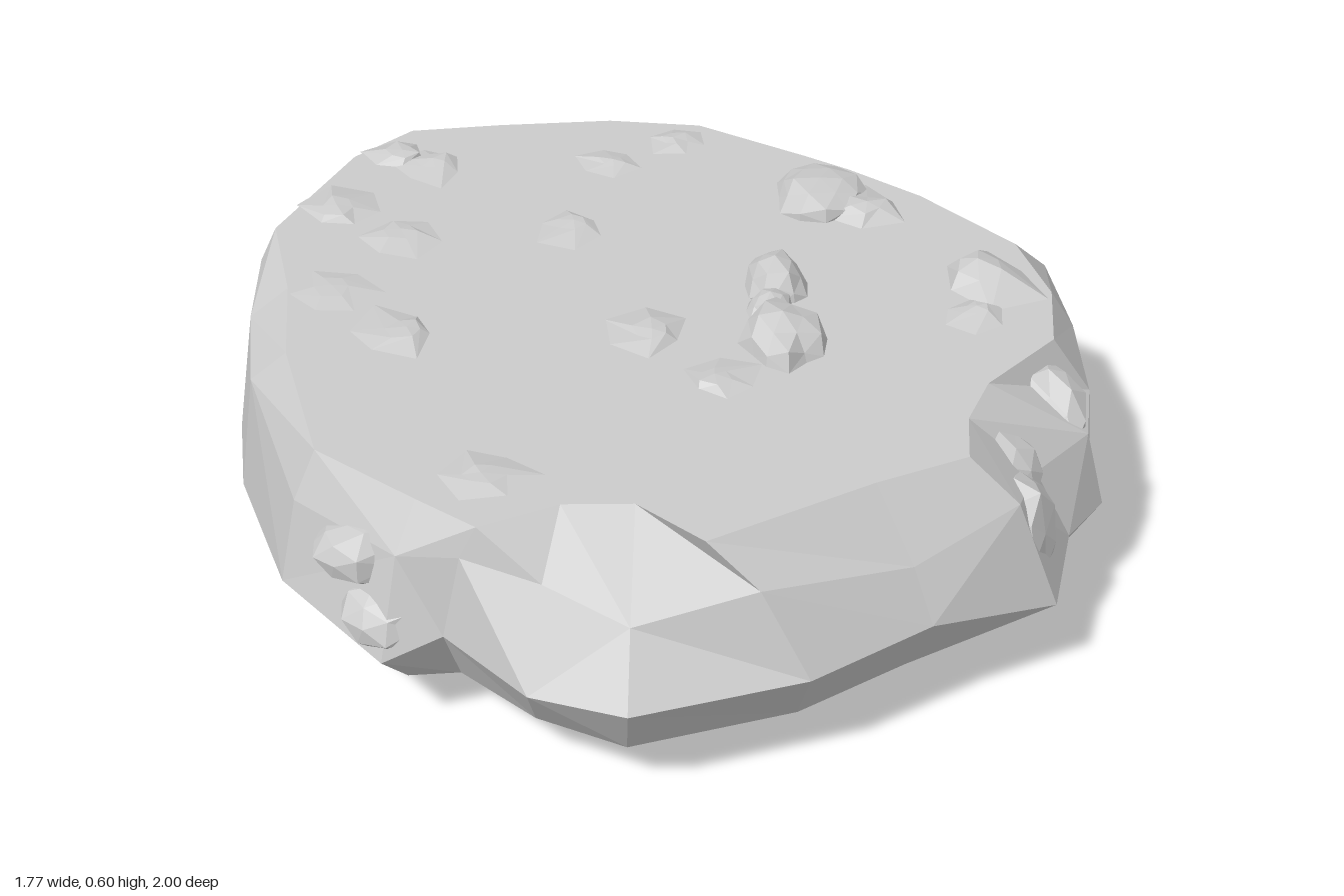
import * as THREE from 'three';
import { mergeGeometries } from 'three/addons/utils/BufferGeometryUtils.js';

const material = new THREE.MeshStandardMaterial({ color: 0xcccccc, flatShading: true });

// Widest outline and flat top outline as matching [x, z] stations, clockwise from the back
const waist = [
  [-0.15, -1], [0.13, -0.89], [0.42, -0.78], [0.58, -0.66], [0.75, -0.55], [0.88, -0.3],
  [0.88, 0], [0.88, 0.17], [0.87, 0.34], [0.78, 0.45], [0.72, 0.64], [0.45, 0.78],
  [0.2, 0.91], [-0.15, 1], [-0.33, 0.9], [-0.48, 0.73], [-0.6, 0.73], [-0.79, 0.48],
  [-0.88, 0.08], [-0.89, -0.15], [-0.85, -0.4], [-0.68, -0.73], [-0.55, -0.88], [-0.33, -0.97],
];
const rim = [
  [-0.05, -0.82], [0.15, -0.78], [0.37, -0.62], [0.46, -0.55], [0.6, -0.42], [0.77, -0.2],
  [0.81, 0], [0.78, 0.18], [0.62, 0.33], [0.56, 0.45], [0.54, 0.58], [0.35, 0.65],
  [0.01, 0.81], [-0.11, 0.68], [-0.25, 0.67], [-0.41, 0.73], [-0.52, 0.63], [-0.71, 0.45],
  [-0.77, 0.1], [-0.77, -0.15], [-0.8, -0.4], [-0.63, -0.7], [-0.5, -0.81], [-0.3, -0.82],
];

// Repeatable noise in -1..1
function noise(a, b, c) {
  const s = Math.sin(a * 127.1 + b * 311.7 + c * 74.7) * 43758.5453;
  return (s - Math.floor(s)) * 2 - 1;
}
const mix = (a, b, t) => a + (b - a) * t;

// Slab: five rough rings joined by facets and closed by flat caps
function slabGeometry() {
  const n = waist.length;
  const pos = [];
  const index = [];
  for (let ring = 0; ring < 5; ring++) {
    for (let i = 0; i < n; i++) {
      const [wx, wz] = waist[i];
      const [tx, tz] = rim[i];
      // The underside is cut in further at the diagonal corners
      const cut = 1 - 0.25 * Math.abs(wx * wz);
      const bx = wx * 0.95 * cut, bz = wz * 0.81 * cut;
      const rough = noise(i, ring, 1);
      const midY = 0.3 - 0.025 * wz - 0.12 * wx * wx + 0.03 * rough;
      const slope = wx > 0 && wz < -0.5 ? 0.46 : 0.57;
      const t = (Math.abs(wx) > 0.8 ? 0.78 : slope) + 0.1 * rough;
      const low = 0.6 + 0.12 * rough;
      if (ring === 0) pos.push(bx, 0.06, bz);
      if (ring === 1) pos.push(mix(bx, wx, low), 0.14 + 0.04 * rough, mix(bz, wz, low));
      if (ring === 2) pos.push(wx, midY, wz);
      if (ring === 3) pos.push(mix(tx, wx, t), 0.42 - 0.04 * rough, mix(tz, wz, t));
      if (ring === 4) pos.push(tx, 0.525, tz);
    }
  }
  pos.push(0, 0.06, 0, 0, 0.525, 0);
  for (let i = 0; i < n; i++) {
    const j = (i + 1) % n;
    for (let r = 0; r < 4; r++) {
      const a = r * n + i, b = r * n + j, c = a + n, d = b + n;
      if (noise(i, r, 5) > 0) index.push(a, c, b, b, c, d);
      else index.push(a, c, d, a, d, b);
    }
    index.push(5 * n, i, j, 5 * n + 1, 4 * n + j, 4 * n + i);
  }
  const geo = new THREE.BufferGeometry();
  geo.setAttribute('position', new THREE.Float32BufferAttribute(pos, 3));
  geo.setIndex(index);
  const flat = geo.toNonIndexed();
  flat.computeVertexNormals();
  return flat;
}

// Lump: an irregular faceted stone
function lump(x, y, z, rx, ry, rz, turn, seed) {
  const geo = new THREE.IcosahedronGeometry(1, 1);
  const p = geo.attributes.position;
  for (let i = 0; i < p.count; i++) {
    const [a, b, c] = [p.getX(i), p.getY(i), p.getZ(i)].map((v) => Math.round(v * 100) / 100 + 0);
    const k = 0.93 + 0.13 * noise(a + seed, b, c);
    p.setXYZ(i, a * k * rx, b * k * ry, c * k * rz);
  }
  geo.rotateY(turn);
  geo.translate(x, y, z);
  geo.computeVertexNormals();
  return geo;
}

// Mound: a low lopsided hump rising out of a flat face; a negative height hangs down
function mound(x, y, z, r, h, seed) {
  const sides = 6;
  const point = (ring, i) => {
    const angle = ((i % sides) / sides) * Math.PI * 2 + seed;
    const k = r * (ring ? 0.42 : 1) * (1 + 0.28 * noise(i % sides, ring, seed));
    const lean = ring * 0.22 * r;
    return [x + Math.cos(angle) * k + lean * Math.cos(seed * 2),
      y + ring * h * (0.75 + 0.2 * noise(i % sides, seed, 3)),
      z + Math.sin(angle) * k + lean * Math.sin(seed * 2)];
  };
  const peak = [x + 0.25 * r * Math.cos(seed * 2), y + h, z + 0.25 * r * Math.sin(seed * 2)];
  const pos = [];
  const face = (a, b, c) => pos.push(...a, ...(h > 0 ? [...c, ...b] : [...b, ...c]));
  for (let i = 0; i < sides; i++) {
    const a = point(0, i), b = point(0, i + 1), c = point(1, i), d = point(1, i + 1);
    face(a, b, c);
    face(b, d, c);
    face(c, d, peak);
  }
  const geo = new THREE.BufferGeometry();
  geo.setAttribute('position', new THREE.Float32BufferAttribute(pos, 3));
  geo.computeVertexNormals();
  return geo;
}

function add(group, name, parts) {
  const mesh = new THREE.Mesh(mergeGeometries(parts), material);
  mesh.name = name;
  group.add(mesh);
}

export function createModel() {
  const group = new THREE.Group();
  group.name = 'flatRock';
  add(group, 'slab', [slabGeometry()]);

  // Larger stones on top, two of them joined: x, z, radius along x, height, radius along z
  const stones = [
    [0.38, -0.44, 0.11, 0.055, 0.13], [0.24, -0.08, 0.07, 0.07, 0.1],
    [0.23, 0.14, 0.09, 0.075, 0.12], [0.22, 0.02, 0.05, 0.045, 0.06],
  ];
  add(group, 'topStones', stones.map(([x, z, rx, h, rz], i) => lump(x, 0.525, z, rx, h, rz, 0, i + 1)));

  // Low humps on top: x, z, radius, height
  const humps = [
    [0.47, -0.38, 0.09, 0.03], [0.69, -0.06, 0.11, 0.05], [0.63, 0.08, 0.06, 0.02],
    [-0.04, 0.08, 0.09, 0.02], [0.1, 0.27, 0.08, 0.015], [-0.17, -0.34, 0.08, 0.015],
    [-0.07, -0.63, 0.07, 0.015], [0.1, -0.71, 0.07, 0.015], [-0.46, -0.63, 0.08, 0.018],
    [-0.54, -0.7, 0.08, 0.02], [-0.65, -0.47, 0.09, 0.02], [-0.53, -0.33, 0.09, 0.015],
    [-0.55, 0.04, 0.1, 0.018], [-0.38, 0.56, 0.09, 0.018], [-0.67, -0.12, 0.09, 0.01],
  ];
  add(group, 'topHumps', humps.map(([x, z, r, h], i) => mound(x, 0.524, z, r, h, i + 7)));

  // Humps under the base: x, z, radius, depth
  const knobs = [
    [0.55, -0.12, 0.09, 0.025], [0.49, -0.24, 0.09, 0.03], [0.43, -0.37, 0.09, 0.03],
    [0.16, -0.31, 0.09, 0.025], [0.08, -0.4, 0.11, 0.045], [0, -0.53, 0.1, 0.04],
    [-0.21, -0.57, 0.11, 0.04], [-0.28, -0.28, 0.12, 0.045], [-0.42, -0.07, 0.11, 0.045],
    [-0.45, 0.12, 0.1, 0.045], [-0.4, 0.22, 0.12, 0.06],
  ];
  add(group, 'baseHumps', knobs.map(([x, z, r, h], i) => mound(x, 0.061, z, r, -h, i + 31)));

  // Broken chunks sunk into the two front corners: x, y, z, radius along x, y, z
  const chunks = [
    [0.62, 0.39, 0.43, 0.1, 0.1, 0.1], [0.64, 0.3, 0.54, 0.1, 0.16, 0.1],
    [0.76, 0.38, 0.24, 0.08, 0.12, 0.12], [-0.59, 0.38, 0.56, 0.15, 0.08, 0.1],
    [-0.55, 0.28, 0.63, 0.13, 0.08, 0.1],
  ];
  add(group, 'cornerChunks', chunks.map((c, i) => lump(...c, 0.3, i + 41)));

  return group;
}
